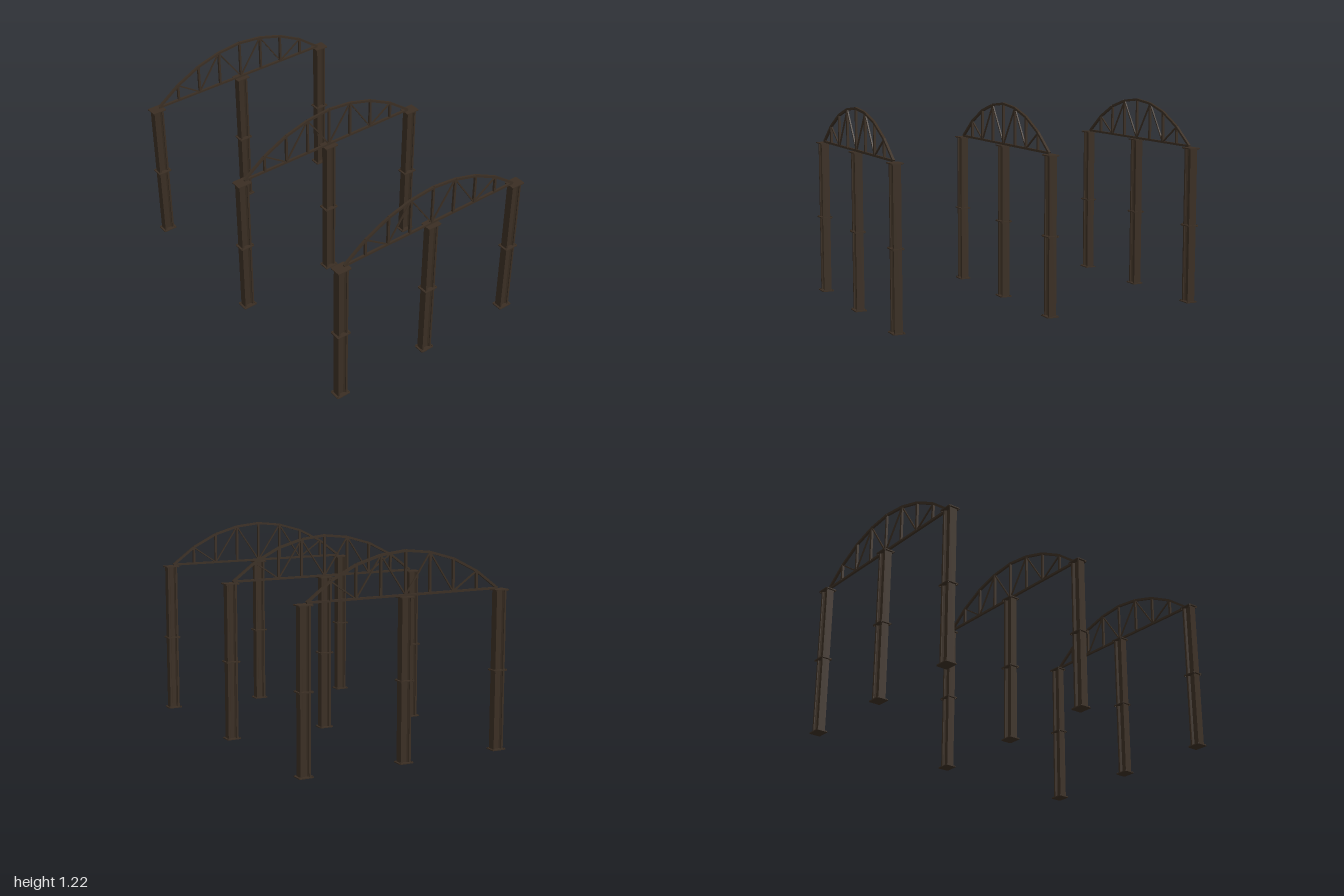
import * as THREE from 'three';

const iron = new THREE.MeshStandardMaterial({ color: 0x3a2e23 });
iron.name = 'dark brown iron';

function add(parent, name, geometry, x = 0, y = 0, z = 0) {
  const mesh = new THREE.Mesh(geometry, iron);
  mesh.name = name;
  mesh.position.set(x, y, z);
  parent.add(mesh);
  return mesh;
}

// Square bar laid between two points of the truss plane
function bar(parent, name, [x1, y1], [x2, y2], thick) {
  const length = Math.hypot(x2 - x1, y2 - y1);
  const mesh = add(parent, name, new THREE.BoxGeometry(length, thick, thick), (x1 + x2) / 2, (y1 + y2) / 2);
  mesh.rotation.z = Math.atan2(y2 - y1, x2 - x1);
}

const HEIGHT = 0.96;

// I-section with flanges at the x ends and sloped fillets to the web
function columnGeometry() {
  const w = 0.033, d = 0.024, f = 0.018, web = 0.01, flange = 0.021;
  const quarter = [[w, 0], [w, d], [flange, d], [flange, f], [0.013, web]];
  const shape = new THREE.Shape([
    ...quarter.slice(1).map(([x, y]) => [x, y]),
    ...quarter.slice(1).reverse().map(([x, y]) => [-x, y]),
    ...quarter.slice(1).map(([x, y]) => [-x, -y]),
    ...quarter.slice(1).reverse().map(([x, y]) => [x, -y]),
  ].map(([x, y]) => new THREE.Vector2(x, y)));
  return new THREE.ExtrudeGeometry(shape, { depth: HEIGHT, bevelEnabled: false }).rotateX(-Math.PI / 2);
}

// Thin plate with clipped corners
function plateGeometry() {
  const w = 0.046, d = 0.037, c = 0.005;
  const shape = new THREE.Shape([
    [w, -d + c], [w, d - c], [w - c, d], [-w + c, d],
    [-w, d - c], [-w, -d + c], [-w + c, -d], [w - c, -d],
  ].map(([x, y]) => new THREE.Vector2(x, y)));
  return new THREE.ExtrudeGeometry(shape, { depth: 0.006, bevelEnabled: false })
    .rotateX(-Math.PI / 2).translate(0, -0.003, 0);
}

function buildColumn() {
  const column = new THREE.Group();
  column.name = 'column';
  add(column, 'columnShaft', columnGeometry());
  const plate = plateGeometry();
  const bolt = new THREE.CylinderGeometry(0.004, 0.004, 0.005, 6);
  // Base, splice and cap plates, with bolts on the shaft sides
  for (const [name, y, sides] of [['basePlate', 0.003, [1]], ['splicePlate', 0.481, [-1, 1]], ['capPlate', HEIGHT - 0.003, [-1]]]) {
    add(column, name, plate, 0, y, 0);
    for (const s of sides)
      for (const x of [-0.038, 0.038])
        for (const z of [-0.028, 0.028]) add(column, 'bolt', bolt, x, y + s * 0.0052, z);
  }
  return column;
}

function buildTruss() {
  const truss = new THREE.Group();
  truss.name = 'archTruss';
  const base = 0.967;
  const arch = [[0, 1.217], [0.16, 1.2], [0.317, 1.155], [0.476, 1.075], [0.622, 0.967]];
  bar(truss, 'bottomChord', [-0.622, base], [0.622, base], 0.013);
  bar(truss, 'kingPost', [0, base], arch[0], 0.013);
  for (const s of [-1, 1]) {
    const at = ([x, y]) => [s * x, y];
    const foot = ([x]) => [s * x, base];
    for (let i = 0; i < 4; i++) {
      bar(truss, 'archChord', at(arch[i]), at(arch[i + 1]), 0.014);
      if (i > 0) bar(truss, 'post', foot(arch[i]), at(arch[i]), 0.014);
    }
    // Alternating diagonals
    bar(truss, 'diagonal', foot(arch[0]), at(arch[1]), 0.008);
    bar(truss, 'diagonal', at(arch[1]), foot(arch[2]), 0.008);
    bar(truss, 'diagonal', foot(arch[2]), at(arch[3]), 0.008);
  }
  return truss;
}

export function createModel() {
  const model = new THREE.Group();
  model.name = 'archedFrames';
  // Three identical frames in a row
  for (const z of [-0.963, 0, 0.963]) {
    const frame = new THREE.Group();
    frame.name = 'frame';
    frame.position.z = z;
    for (const x of [-0.64, 0, 0.64]) {
      const column = buildColumn();
      column.position.x = x;
      frame.add(column);
    }
    frame.add(buildTruss());
    model.add(frame);
  }
  return model;
}
